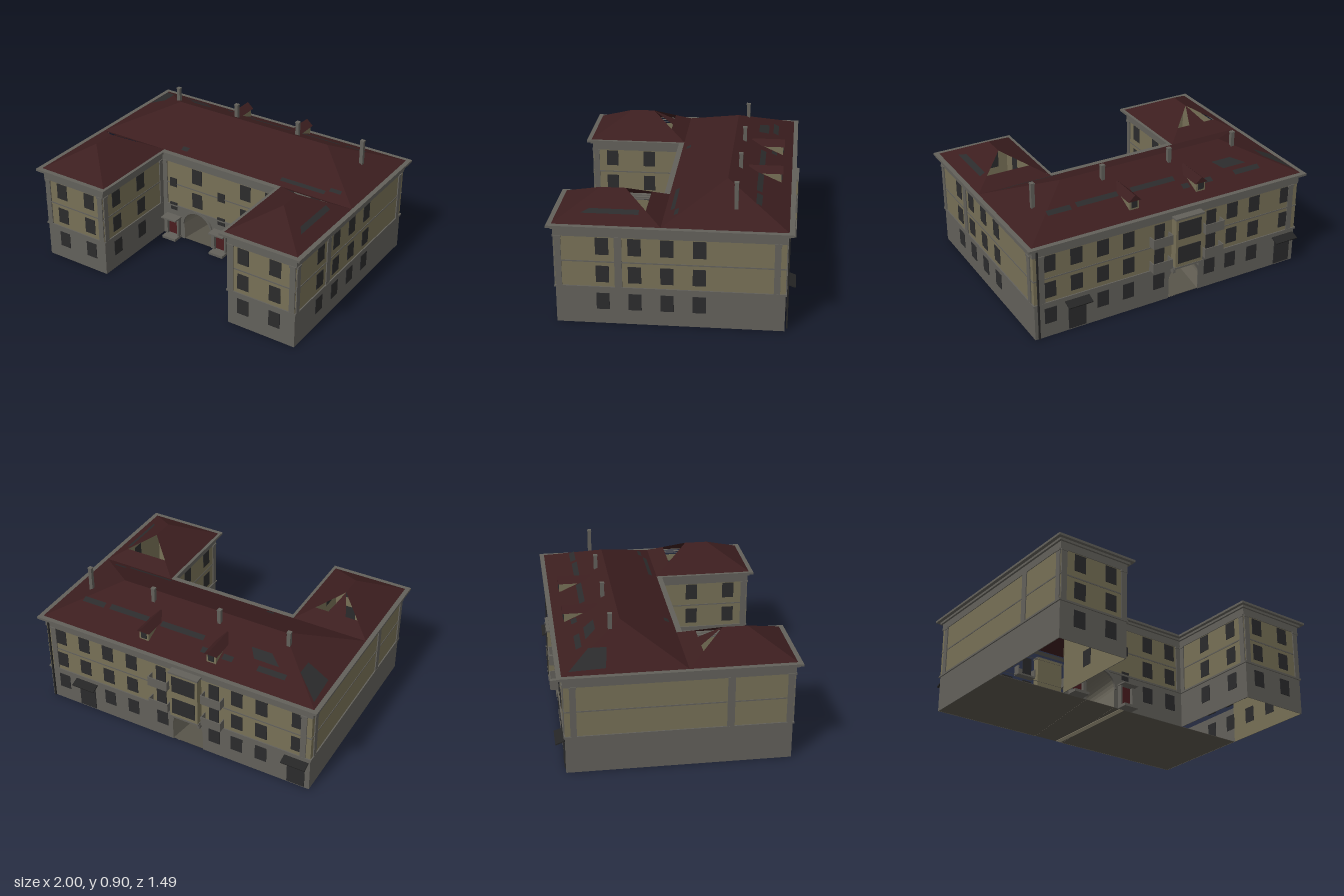
import * as THREE from 'three';

const flat = (name, color, side = THREE.FrontSide) => {
  const m = new THREE.MeshStandardMaterial({ color, side });
  m.name = name;
  return m;
};

export function createModel() {
  const root = new THREE.Group();
  root.name = 'courtyardBuilding';
  const M = {
    plaster: flat('ochre plaster', 0x777056),
    stone: flat('grey stone', 0x62605a),
    roof: flat('red roof', 0x3c1e1f, THREE.DoubleSide),
    glass: flat('dark glass', 0x2b2b2c),
    door: flat('red door', 0x4a1c1f),
    passage: flat('passage stone', 0x716d61, THREE.DoubleSide),
    slab: flat('floor slab', 0x58544a),
    strip: flat('pale paving', 0xa8a086),
    iron: flat('dark iron', 0x252525),
  };
  const X = 0.958, I = 0.48, C = 0.056, F = 0.703, B = -0.685, T = 0.004;

  const mesh = (name, geo, mat, parent = root) => {
    const m = new THREE.Mesh(geo, mat);
    m.name = name;
    parent.add(m);
    return m;
  };
  const box = (name, w, h, d, x, y, z, mat, parent = root) => {
    const m = mesh(name, new THREE.BoxGeometry(w, h, d), mat, parent);
    m.position.set(x, y, z);
    return m;
  };

  // U-shaped plan, pushed outward by d
  const plan = (d) => [
    [-X - d, B - d], [X + d, B - d], [X + d, F + d], [I - d, F + d],
    [I - d, C + d], [-I + d, C + d], [-I + d, F + d], [-X - d, F + d],
  ].map(([x, z]) => new THREE.Vector2(x, -z));
  const band = (name, y0, y1, d, mat) => {
    const s = new THREE.Shape(plan(d));
    s.holes.push(new THREE.Path(plan(-T)));
    const g = new THREE.ExtrudeGeometry(s, { depth: y1 - y0, bevelEnabled: false });
    mesh(name, g.rotateX(-Math.PI / 2).translate(0, y0, 0), mat);
  };
  band('upperWalls', 0.25, 0.58, 0, M.plaster);
  band('groundBand', 0.238, 0.25, 0.008, M.stone);
  band('floorBand', 0.411, 0.419, 0.003, M.stone);
  band('frieze', 0.578, 0.63, 0.005, M.stone);
  band('lowerCornice', 0.626, 0.641, 0.018, M.stone);
  band('upperCornice', 0.641, 0.656, 0.04, M.stone);

  // Wall frames: local x runs along the wall, local z points outward; s converts world coordinate to local x
  const wall = (name, rot, dist, s, spans) => {
    const g = new THREE.Group();
    g.name = name;
    g.rotation.y = rot;
    root.add(g);
    return { g, dist, s, spans };
  };
  const H = Math.PI / 2;
  const W = {
    front: wall('wingFronts', 0, F, 1, [[-X, -I], [I, X]]),
    court: wall('courtWall', 0, C, 1, [[-I, I]]),
    back: wall('backWall', Math.PI, -B, -1, [[-X, X]]),
    right: wall('rightWall', H, X, -1, [[B, F]]),
    left: wall('leftWall', -H, X, 1, [[B, F]]),
    innerLeft: wall('courtSideA', H, -I, -1, [[C, F]]),
    innerRight: wall('courtSideB', -H, -I, 1, [[C, F]]),
  };
  // Box standing on a wall: centre a, bottom y, outward from z0 by depth
  const on = (w, name, a, y, wd, h, depth, mat, z0 = 0) =>
    box(name, wd, h, depth, w.s * a, y + h / 2, w.dist + z0 + depth / 2, mat, w.g);

  // Ground-floor walls, with arches where the oblique passage runs through
  const arches = { court: { c: -0.195, r: 0.11, y: 0.125 }, back: { c: -0.095, r: 0.11, y: 0.125 } };
  for (const key in W) {
    const w = W[key], arch = arches[key];
    for (const [a0, a1] of w.spans) {
      const [u0, u1] = [w.s * a0, w.s * a1].sort((p, q) => p - q);
      const s = new THREE.Shape();
      s.moveTo(u0, 0);
      if (arch) {
        const c = w.s * arch.c;
        s.lineTo(c - arch.r, 0);
        s.lineTo(c - arch.r, arch.y);
        s.absarc(c, arch.y, arch.r, Math.PI, 0, true);
        s.lineTo(c + arch.r, 0);
      }
      s.lineTo(u1, 0);
      s.lineTo(u1, 0.25);
      s.lineTo(u0, 0.25);
      const g = new THREE.ExtrudeGeometry(s, { depth: T, bevelEnabled: false, curveSegments: 20 });
      mesh('groundWall', g.translate(0, 0, w.dist - T), M.stone, w.g);
      // Corner pilasters with capitals, set further in at the rear corners
      const rear = key === 'back' || a0 === B ? 0.052 : 0.022;
      for (const a of [a0 + rear, a1 - (key === 'back' ? rear : 0.022)]) {
        on(w, 'pilaster', a, 0.25, 0.038, 0.33, 0.007, M.stone);
        on(w, 'capital', a, 0.567, 0.044, 0.014, 0.011, M.stone);
      }
    }
  }
  for (const w of [W.right, W.left]) on(w, 'middlePilaster', 0.318, 0.25, 0.045, 0.33, 0.007, M.stone);

  // Arch surround on the courtyard side
  const trim = new THREE.Shape();
  const { c: tc, r: tr, y: ty } = arches.court;
  trim.absarc(tc, ty, tr + 0.014, 0, Math.PI, false);
  trim.absarc(tc, ty, tr, Math.PI, 0, true);
  mesh('archSurround', new THREE.ExtrudeGeometry(trim, { depth: 0.012, bevelEnabled: false, curveSegments: 20 })
    .translate(0, 0, C), M.stone);

  // Vaulted passage lofted between the two arches
  const archPoints = ({ c, r, y }, z) => {
    const pts = [[c - r, 0, z]];
    for (let i = 0; i <= 16; i++) {
      const t = Math.PI * (1 - i / 16);
      pts.push([c + r * Math.cos(t), y + r * Math.sin(t), z]);
    }
    return [...pts, [c + r, 0, z]];
  };
  const faces = (name, polys, mat, parent = root) => {
    const pos = [];
    for (const p of polys)
      for (let i = 1; i < p.length - 1; i++) pos.push(...p[0], ...p[i], ...p[i + 1]);
    const g = new THREE.BufferGeometry();
    g.setAttribute('position', new THREE.Float32BufferAttribute(pos, 3));
    g.computeVertexNormals();
    return mesh(name, g, mat, parent);
  };
  const fa = archPoints(arches.court, C), ba = archPoints(arches.back, B);
  faces('passageVault', fa.slice(1).map((p, i) => [fa[i], p, ba[i + 1], ba[i]]), M.passage);

  // Floor under the main block, with a pale strip on its underside
  box('groundSlab', 2 * X - 0.01, 0.003, C - B - 0.01, 0, 0.0025, (C + B) / 2, M.slab);
  box('passageStrip', 0.04, 0.001, C - B - 0.01, -0.02, 0.0005, (C + B) / 2, M.strip);

  // Inner lining of the open-bottomed wings
  for (const s of [-1, 1]) {
    for (const x of [I + T + 0.0005, X - T - 0.0005])
      box('wingLining', 0.001, 0.62, F - C - 0.01, s * x, 0.31, (F + C) / 2, M.plaster);
    box('wingLining', X - I - 0.01, 0.62, 0.001, s * (X + I) / 2, 0.31, F - T - 0.0005, M.plaster);
  }

  // Windows, showing on both faces of the thin walls
  const floors = [[0.097, 0.108], [0.28, 0.108], [0.462, 0.11]];
  const windowAt = (w, a, y, wd, h) => on(w, 'window', a, y, wd, h, 0.0095, M.glass, -0.006);
  const columns = (w, list, levels = floors) =>
    list.forEach((a) => levels.forEach(([y, h]) => windowAt(w, a, y, 0.08, h)));
  columns(W.front, [-0.82, -0.595, 0.59, 0.815]);
  columns(W.court, [0.19, 0.38]);
  columns(W.court, [-0.195], floors.slice(1));
  columns(W.right, [0.415, 0.22, 0.025, -0.17]);
  columns(W.innerLeft, [0.57, 0.31]);
  columns(W.innerRight, [0.57, 0.31]);
  columns(W.back, [0.49, 0.31, -0.45, -0.62]);
  columns(W.back, [0.85, 0.67, -0.865], floors.slice(1));
  columns(W.back, [0.85, -0.29, 0.09], floors.slice(0, 1));
  for (const a of [-0.39, 0]) {
    windowAt(W.court, a, 0.39, 0.055, 0.066);
    windowAt(W.court, a, 0.208, 0.055, 0.03);
    on(W.court, 'window', a, 0.25, 0.055, 0.016, 0.0095, M.glass);
    // Courtyard doors with porch frames
    on(W.court, 'door', a, 0.02, 0.078, 0.137, 0.008, M.door);
    for (const e of [-0.046, 0.046]) on(W.court, 'doorJamb', a + e, 0, 0.014, 0.157, 0.03, M.stone);
    on(W.court, 'doorCanopy', a, 0.157, 0.118, 0.01, 0.075, M.stone);
    on(W.court, 'doorStep', a, 0, 0.11, 0.018, 0.075, M.stone);
  }

  // Rear bay over the archway, on corbels
  on(W.back, 'rearBay', -0.1, 0.25, 0.2, 0.345, 0.052, M.plaster);
  on(W.back, 'bayBase', -0.1, 0.238, 0.21, 0.012, 0.055, M.stone);
  on(W.back, 'bayTop', -0.1, 0.588, 0.21, 0.012, 0.057, M.stone);
  for (const a of [-0.195, -0.005]) on(W.back, 'bayCorbel', a, 0.2, 0.018, 0.04, 0.035, M.stone);
  for (const y of [0.275, 0.45]) {
    on(W.back, 'bayWindow', -0.1, y, 0.165, 0.12, 0.004, M.glass, 0.052);
    // Side balconies
    for (const a of [-0.29, 0.09]) {
      on(W.back, 'balconyDoor', a, y - 0.01, 0.07, 0.125, 0.005, M.glass);
      on(W.back, 'balconySlab', a, y - 0.022, 0.14, 0.012, 0.053, M.stone);
      on(W.back, 'balconyFront', a, y - 0.01, 0.14, 0.055, 0.006, M.stone, 0.047);
      for (const e of [-0.067, 0.067])
        on(W.back, 'balconySide', a + e, y - 0.01, 0.006, 0.055, 0.048, M.stone);
    }
  }
  // Rear doors with sloping canopies
  for (const a of [0.67, -0.865]) {
    on(W.back, 'rearDoor', a, 0.01, 0.12, 0.18, 0.006, M.glass);
    on(W.back, 'rearCanopy', a, 0.2, 0.165, 0.008, 0.06, M.iron).rotation.x = 0.35;
  }
  // Drainpipe
  on(W.back, 'drainpipe', 0.935, 0.01, 0.01, 0.62, 0.01, M.iron, 0.008);

  // Main hipped roof
  const E = 0.657, top = 0.83, R = 0.968;
  const a = [-R, E, 0.06], b = [R, E, 0.06], c = [R, E, -0.695], d = [-R, E, -0.695];
  const r0 = [-0.58, top, -0.31], r1 = [0.58, top, -0.31];
  faces('mainRoof', [[a, b, r1, r0], [b, c, r1], [c, d, r0, r1], [d, a, r0]], M.roof);

  // Wing roofs, with an opening in each rear slope
  for (const s of [-1, 1]) {
    const p = (x, y, z) => [s * x, y, z];
    const k0 = p(0.715, 0.797, 0.3), k1 = p(0.715, 0.797, 0.455);
    const oi = p(0.46, E, 0.06), oo = p(R, E, 0.06), fi = p(0.46, E, 0.713), fo = p(R, E, 0.713);
    const hi = p(0.566, 0.715, 0.16), ho = p(0.863, 0.715, 0.16);
    const polys = [[fi, fo, k1], [fo, oo, k0, k1], [oi, fi, k1, k0], [oo, oi, hi, ho]];
    if (s < 0) {
      polys.push([p(0.78, 0.715, 0.16), p(0.66, 0.715, 0.16), k0]);
      polys.forEach((q) => q.reverse());
    }
    faces('wingRoof', polys, M.roof);
  }

  // Dark openings lying on the rear and front slopes
  const slope = (z) => (z < -0.31 ? E + (z + 0.695) * 0.449 : E + (0.06 - z) * 0.468) + 0.003;
  const patch = (pts) => faces('roofOpening', [pts.map(([x, z]) => [x, slope(z), z])], M.glass);
  for (const [x0, x1, z0, z1] of [
    [-0.72, -0.53, -0.59, -0.555], [-0.36, -0.29, -0.59, -0.555], [-0.19, -0.14, -0.59, -0.555],
    [-0.12, 0.19, -0.52, -0.485], [0.285, 0.57, -0.52, -0.485], [0.61, 0.77, -0.525, -0.49],
    [0.43, 0.75, 0.0, 0.025], [0.77, 0.85, -0.03, -0.005], [-0.34, -0.29, 0.0, 0.03],
  ]) patch([[x0, z1], [x1, z1], [x1, z0], [x0, z0]]);
  patch([[-0.57, -0.46], [-0.43, -0.46], [-0.48, -0.525], [-0.65, -0.525]]);
  faces('hipOpening', [[[-0.945, 0.675, -0.65], [-0.935, 0.68, -0.43], [-0.79, 0.747, -0.41], [-0.79, 0.747, -0.52]]], M.glass);
  // Narrow opening in the outer slope of one wing
  const outer = (x) => E + (R - x) * 0.553 + 0.003;
  faces('wingRoofOpening', [[[0.86, outer(0.86), 0.5], [0.893, outer(0.893), 0.55],
    [0.893, outer(0.893), 0.2], [0.86, outer(0.86), 0.2]]], M.glass);

  // Dormers
  for (const x of [-0.24, 0.24]) {
    box('dormerWall', 0.066, 0.085, 0.15, x, 0.712, -0.555, M.plaster);
    box('dormerWindow', 0.04, 0.045, 0.006, x, 0.722, -0.632, M.glass);
    const s = new THREE.Shape([[-0.045, 0.747], [0.045, 0.747], [0, 0.787]].map((q) => new THREE.Vector2(...q)));
    mesh('dormerRoof', new THREE.ExtrudeGeometry(s, { depth: 0.22, bevelEnabled: false })
      .translate(x, 0, -0.64), M.roof);
  }

  // Chimneys
  for (const x of [-0.64, -0.16, 0.32, 0.8]) {
    box('chimney', 0.024, 0.17, 0.024, x, 0.81, -0.375, M.stone);
    box('chimneyCap', 0.028, 0.008, 0.028, x, 0.893, -0.375, M.stone);
  }
  return root;
}
